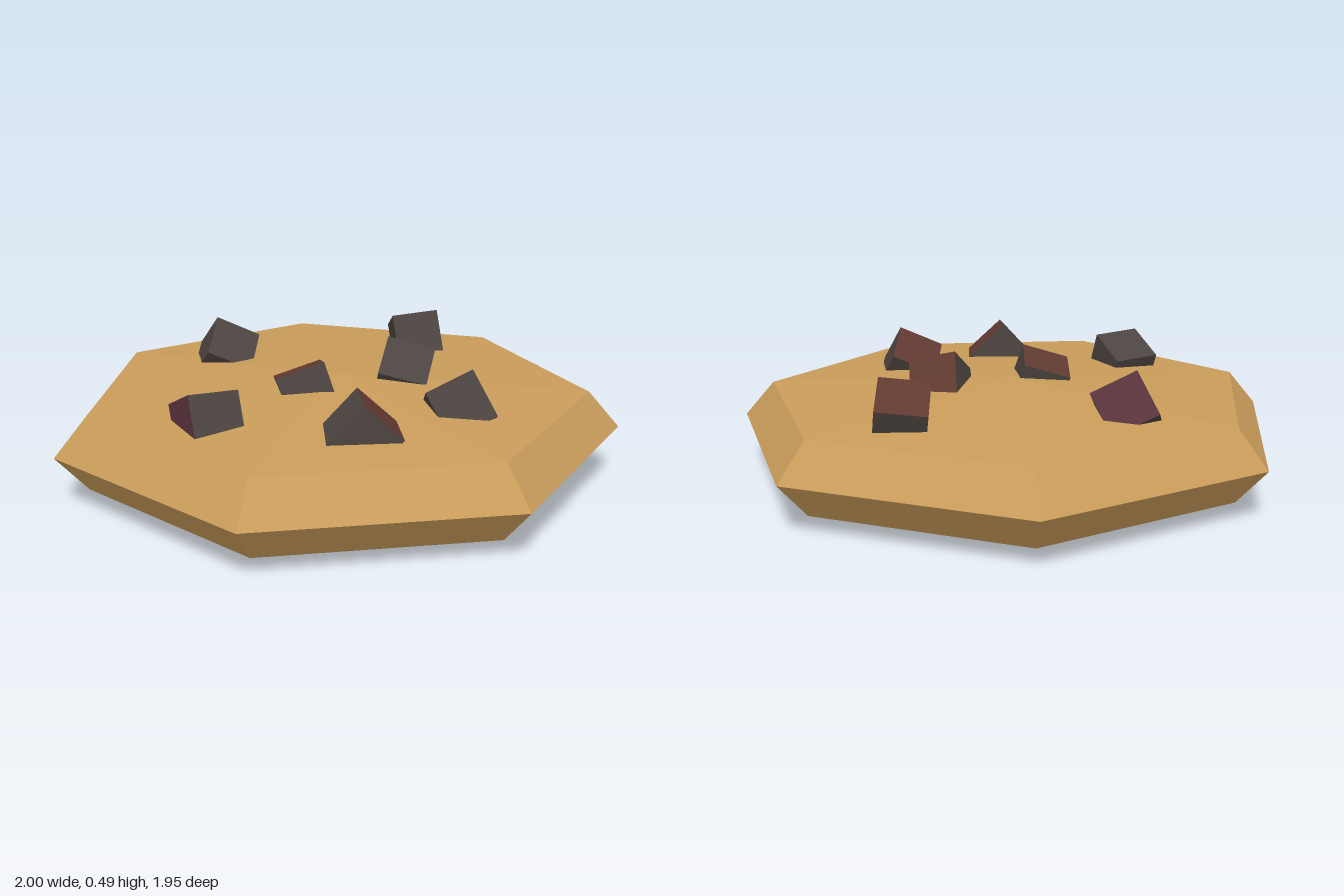
import * as THREE from 'three';

const material = (name, color) => {
  const m = new THREE.MeshStandardMaterial({ color });
  m.name = name;
  return m;
};

export function createModel() {
  const dough = material('golden dough', 0xc99c5a);
  dough.flatShading = true;
  const dark = material('dark chocolate', 0x4c4440);
  const red = material('red brown chocolate', 0x613a31);
  const plum = material('plum chocolate', 0x5b333d);
  const model = new THREE.Group();
  model.name = 'cookie';

  // Seven-sided biscuit with bevelled rim and shallow peaks above and below
  const profile = [[0, 0], [0.912, 0.06], [1.025, 0.19], [0.912, 0.32], [0, 0.37]]
    .map(([r, y]) => new THREE.Vector2(r, y));
  const biscuit = new THREE.Mesh(new THREE.LatheGeometry(profile, 7, Math.PI), dough);
  biscuit.name = 'biscuit';
  biscuit.position.z = 0.05;
  model.add(biscuit);

  // Tilted cubes sunk into the top: a corner and the two edges around the tinted face
  const size = 0.178;
  const cube = new THREE.BoxGeometry(size, size, size);
  const addChip = (tint, corner, edgeA, edgeB) => {
    const a = new THREE.Vector3(...edgeA).normalize();
    const b = new THREE.Vector3(...edgeB);
    const n = a.clone().cross(b).normalize();
    b.crossVectors(n, a);
    const chip = new THREE.Mesh(cube, [dark, dark, dark, dark, tint, dark]);
    chip.name = 'chocolateChip';
    chip.quaternion.setFromRotationMatrix(new THREE.Matrix4().makeBasis(a, b, n));
    chip.position.set(...corner).addScaledVector(a.add(b).sub(n), size / 2);
    model.add(chip);
  };
  addChip(plum, [-0.395, 0.49, -0.37], [0.16, -0.076, 0], [-0.07, -0.12, -0.11]);
  addChip(red, [0.475, 0.485, -0.365], [0.015, -0.077, -0.16], [-0.177, -0.02, -0.01]);
  addChip(red, [0.205, 0.485, -0.01], [0.165, -0.039, 0.05], [-0.025, -0.135, -0.11]);
  addChip(red, [-0.065, 0.46, 0.2], [0.01, -0.04, -0.17], [-0.172, -0.05, 0.015]);
  addChip(plum, [-0.55, 0.455, 0.475], [-0.058, -0.075, -0.145], [0.017, -0.16, 0.07]);
  addChip(red, [0.4, 0.485, 0.44], [0.03, -0.082, -0.155], [-0.165, -0.06, 0.03]);
  addChip(red, [-0.015, 0.46, 0.685], [0.13, -0.12, 0.005], [0, 0.013, -0.178]);
  return model;
}
